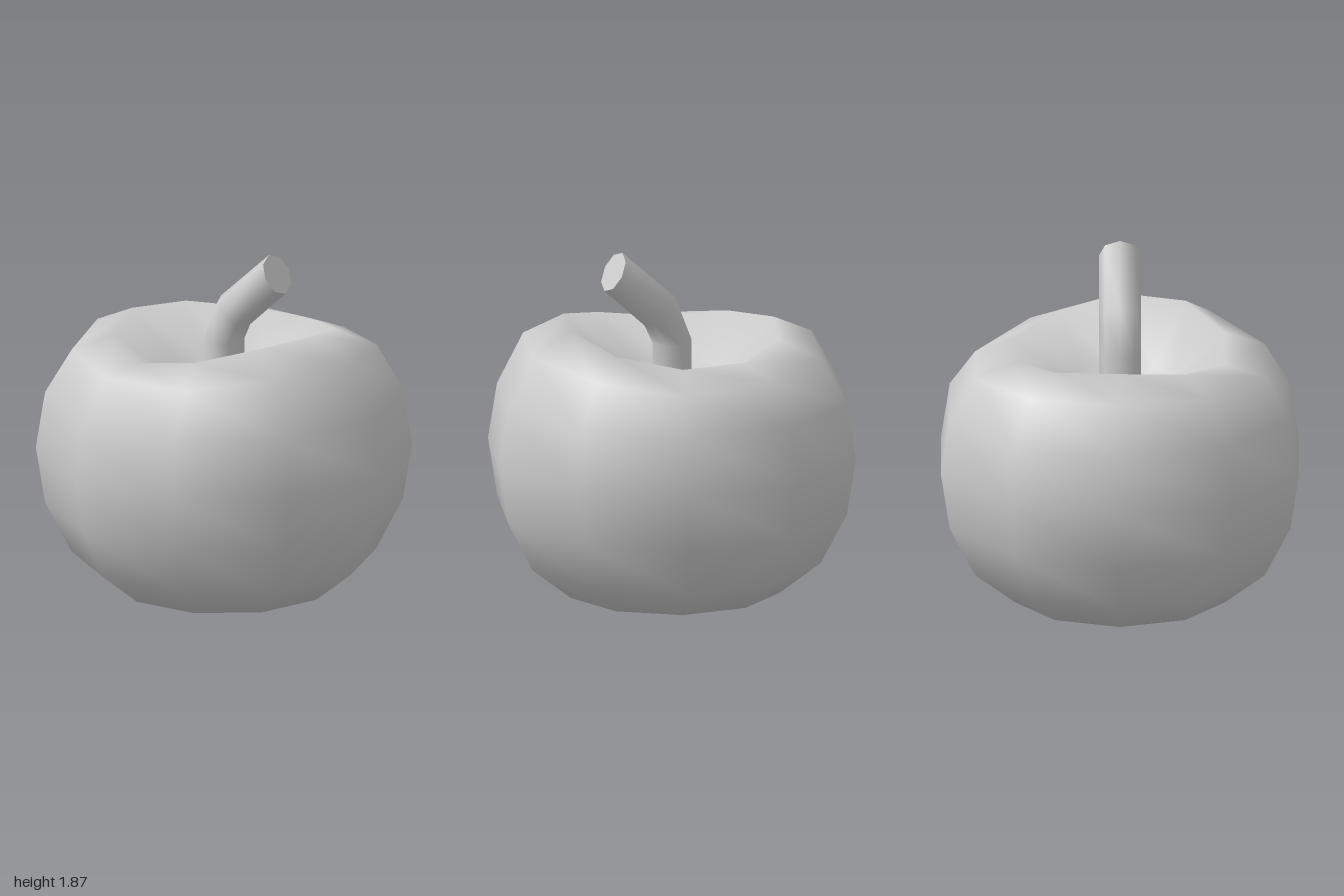
import * as THREE from 'three';

// Skins rings of points listed bottom to top; a ring of one point closes an end.
function loft(rings, sides) {
  const points = [], starts = [], index = [];
  for (const ring of rings) {
    starts.push(points.length);
    points.push(...ring);
  }
  for (let i = 0; i < rings.length - 1; i++) {
    const at = (k, j) => starts[k] + (j % rings[k].length);
    for (let j = 0; j < sides; j++) {
      const a = at(i, j), b = at(i, j + 1), c = at(i + 1, j), d = at(i + 1, j + 1);
      if (c !== d) index.push(a, c, d);
      if (a !== b) index.push(a, d, b);
    }
  }
  const geometry = new THREE.BufferGeometry().setFromPoints(points);
  geometry.setIndex(index);
  geometry.computeVertexNormals();
  return geometry;
}

// Body ring: height is one number, or one per side for the uneven shoulder.
function bodyRing(radius, height) {
  return Array.from({ length: 10 }, (_, j) => {
    const a = (j / 10) * Math.PI * 2;
    const y = Array.isArray(height) ? height[j] : height;
    return new THREE.Vector3(radius * Math.cos(a), y, radius * Math.sin(a));
  });
}

// Stem ring: tilt leans it towards +x.
function stemRing(x, y, tilt, radius = 0.112) {
  return Array.from({ length: 8 }, (_, j) => {
    const a = (j / 8) * Math.PI * 2;
    const u = radius * Math.cos(a);
    return new THREE.Vector3(x + u * Math.cos(tilt), y - u * Math.sin(tilt), radius * Math.sin(a));
  });
}

export function createModel() {
  const group = new THREE.Group();
  const material = new THREE.MeshStandardMaterial({ color: 0xcccccc });
  const add = (name, geometry) => {
    const mesh = new THREE.Mesh(geometry, material);
    mesh.name = name;
    group.add(mesh);
  };

  // Round body with a dimpled base, an uneven shoulder and a hollow for the stem
  add('fruitBody', loft([
    [new THREE.Vector3(0, 0.14, 0)],
    bodyRing(0.309, 0.1),
    bodyRing(0.588, 0),
    bodyRing(0.809, 0.175),
    bodyRing(0.951, 0.45),
    bodyRing(1, 0.76),
    bodyRing(0.951, 1.065),
    bodyRing(0.809, [1.35, 1.35, 1.3, 1.29, 1.3, 1.32, 1.3, 1.28, 1.26, 1.31]),
    bodyRing(0.588, [1.47, 1.467, 1.39, 1.33, 1.38, 1.42, 1.39, 1.35, 1.35, 1.4]),
    bodyRing(0.309, 1.17),
    [new THREE.Vector3(0, 1.1, 0)],
  ], 10));

  // Bent stem; the end ring is doubled to keep the cut edge sharp
  add('stem', loft([
    stemRing(0, 1.08, 0),
    stemRing(0, 1.35, 0),
    stemRing(0.07, 1.52, 0.66),
    stemRing(0.34, 1.767, 1.09),
    stemRing(0.34, 1.767, 1.09),
    [new THREE.Vector3(0.34, 1.767, 0)],
  ], 8));

  return group;
}
